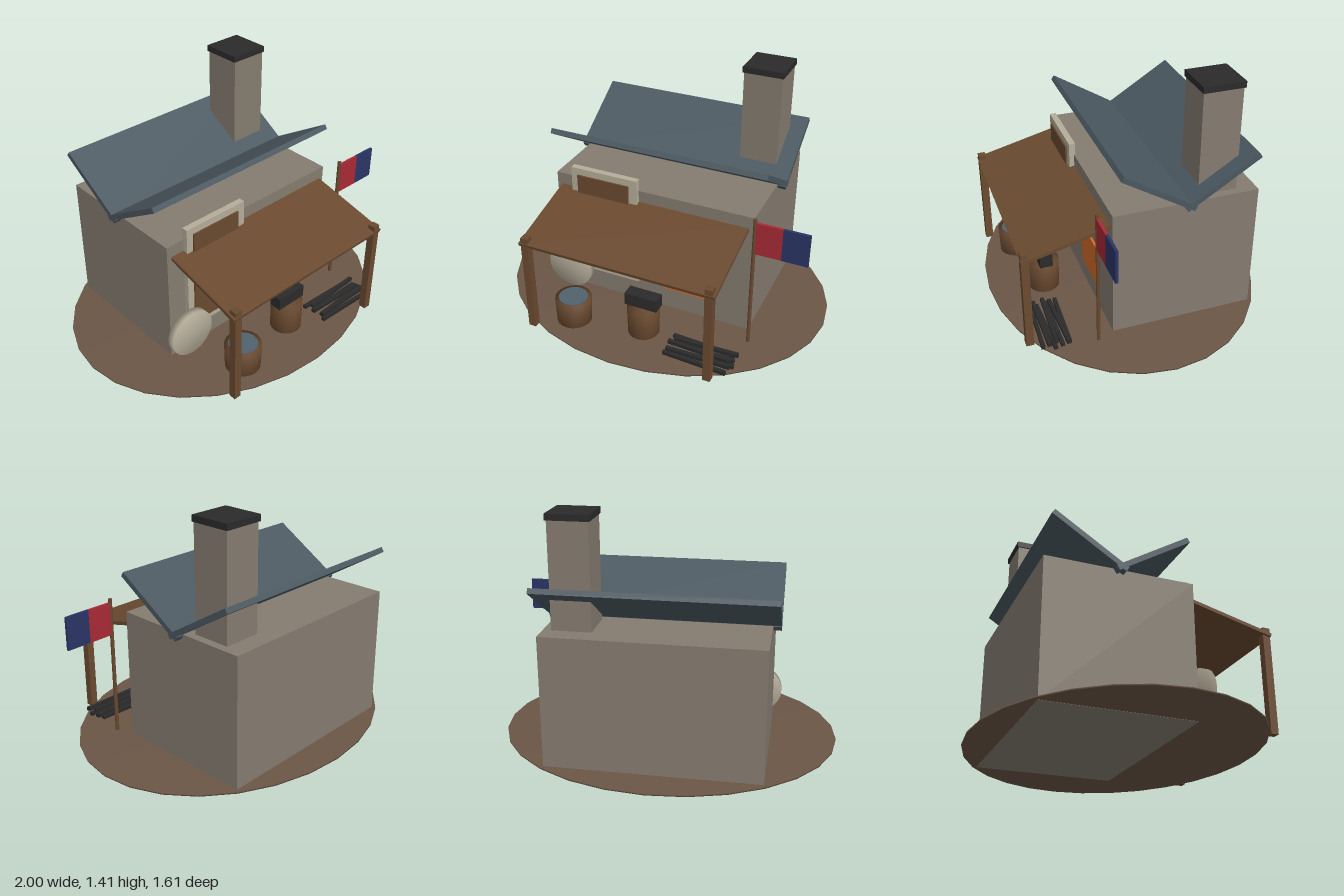
import * as THREE from 'three';
import { mergeVertices } from 'three/addons/utils/BufferGeometryUtils.js';

const material = (name, color) => {
  const m = new THREE.MeshStandardMaterial({ color });
  m.name = name;
  return m;
};

export function createModel() {
  const model = new THREE.Group();
  model.name = 'forgeHut';

  const earth = material('earth', 0x6b5646);
  const stone = material('stone', 0x857c70);
  const slate = material('slate', 0x4b5860);
  const wood = material('wood', 0x6a4a30);
  const iron = material('iron', 0x2b2b2b);
  const cream = material('cream', 0xb5ad9a);
  const ember = material('ember', 0xd36b2a);
  const red = material('red', 0xa82a35);
  const blue = material('blue', 0x2b3566);
  const water = material('water', 0x50626e);

  const add = (name, geometry, mat, x, y, z) => {
    const mesh = new THREE.Mesh(geometry, mat);
    mesh.name = name;
    mesh.position.set(x, y, z);
    model.add(mesh);
    return mesh;
  };
  // box given by its limits on each axis
  const box = (name, mat, [x0, x1], [y0, y1], [z0, z1]) =>
    add(name, new THREE.BoxGeometry(x1 - x0, y1 - y0, z1 - z0), mat,
      (x0 + x1) / 2, (y0 + y1) / 2, (z0 + z1) / 2);
  // cylinder with normals blended over its rims
  const softCylinder = (top, bottom, height, sides) => {
    const g = new THREE.CylinderGeometry(top, bottom, height, sides);
    g.deleteAttribute('normal');
    g.deleteAttribute('uv');
    const merged = mergeVertices(g, 1e-4);
    merged.computeVertexNormals();
    return merged;
  };

  // oval ground plate
  const ground = softCylinder(1, 1, 0.009, 28);
  ground.scale(1, 1, 0.805);
  ground.computeVertexNormals();
  add('ground', ground, earth, 0, 0.0055, 0);

  // house and chimney
  box('walls', stone, [-0.612, 0.612], [0, 0.775], [-0.61, 0.228]);
  box('chimney', stone, [0.34, 0.565], [0.7, 1.38], [-0.496, -0.271]);
  box('chimneyCap', iron, [0.332, 0.572], [1.377, 1.413], [-0.505, -0.265]);

  // two roof panels meeting in a valley
  for (const side of [-1, 1]) {
    const panel = add(side > 0 ? 'frontRoof' : 'backRoof',
      new THREE.BoxGeometry(1.317, 0.031, 0.485), slate, 0, 0.888, -0.195 + side * 0.179);
    panel.rotation.x = -side * THREE.MathUtils.degToRad(32);
  }

  // door and glowing hatch
  box('doorFrame', cream, [-0.497, -0.08], [0.157, 0.848], [0.22, 0.257]);
  box('door', wood, [-0.455, -0.13], [0.197, 0.807], [0.23, 0.267]);
  box('forgeOpening', ember, [0.08, 0.372], [0.15, 0.407], [0.22, 0.242]);

  // awning on two posts
  const awning = add('awning', new THREE.BoxGeometry(1.166, 0.02, 0.52), wood, 0, 0.634, 0.463);
  awning.rotation.x = THREE.MathUtils.degToRad(14);
  for (const x of [-0.548, 0.548]) {
    box('awningPost', wood, [x - 0.022, x + 0.022], [0.004, 0.615], [0.67, 0.714]);
  }

  // flag
  add('flagPole', new THREE.CylinderGeometry(0.011, 0.011, 0.832, 8), wood, 0.647, 0.42, 0.323);
  box('flagInner', red, [0.655, 0.802], [0.622, 0.815], [0.315, 0.331]);
  box('flagOuter', blue, [0.802, 0.948], [0.622, 0.815], [0.315, 0.331]);

  // round shield leaning by the door
  add('shield', softCylinder(0.143, 0.143, 0.043, 24), cream, -0.518, 0.178, 0.29)
    .rotation.x = Math.PI / 2;

  // water barrel
  add('waterBarrel', softCylinder(0.107, 0.102, 0.161, 20), wood, -0.356, 0.0845, 0.552);
  add('waterSurface', new THREE.CylinderGeometry(0.085, 0.085, 0.008, 20), water, -0.356, 0.165, 0.552);

  // anvil on its stump
  add('anvilStump', softCylinder(0.095, 0.092, 0.192, 20), wood, 0.064, 0.1, 0.482);
  box('anvil', iron, [-0.035, 0.163], [0.196, 0.273], [0.445, 0.521]);

  // heap of iron bars
  for (let i = 0; i < 7; i++) {
    const bar = add('ironBar', new THREE.BoxGeometry(0.38, 0.022, 0.022), iron,
      0.45 + 0.012 * ((i * 2) % 3 - 1), i % 2 ? 0.04 : 0.02, 0.475 + i * 0.025);
    bar.rotation.y = 0.04 * ((i * 2) % 3 - 1);
  }

  return model;
}
